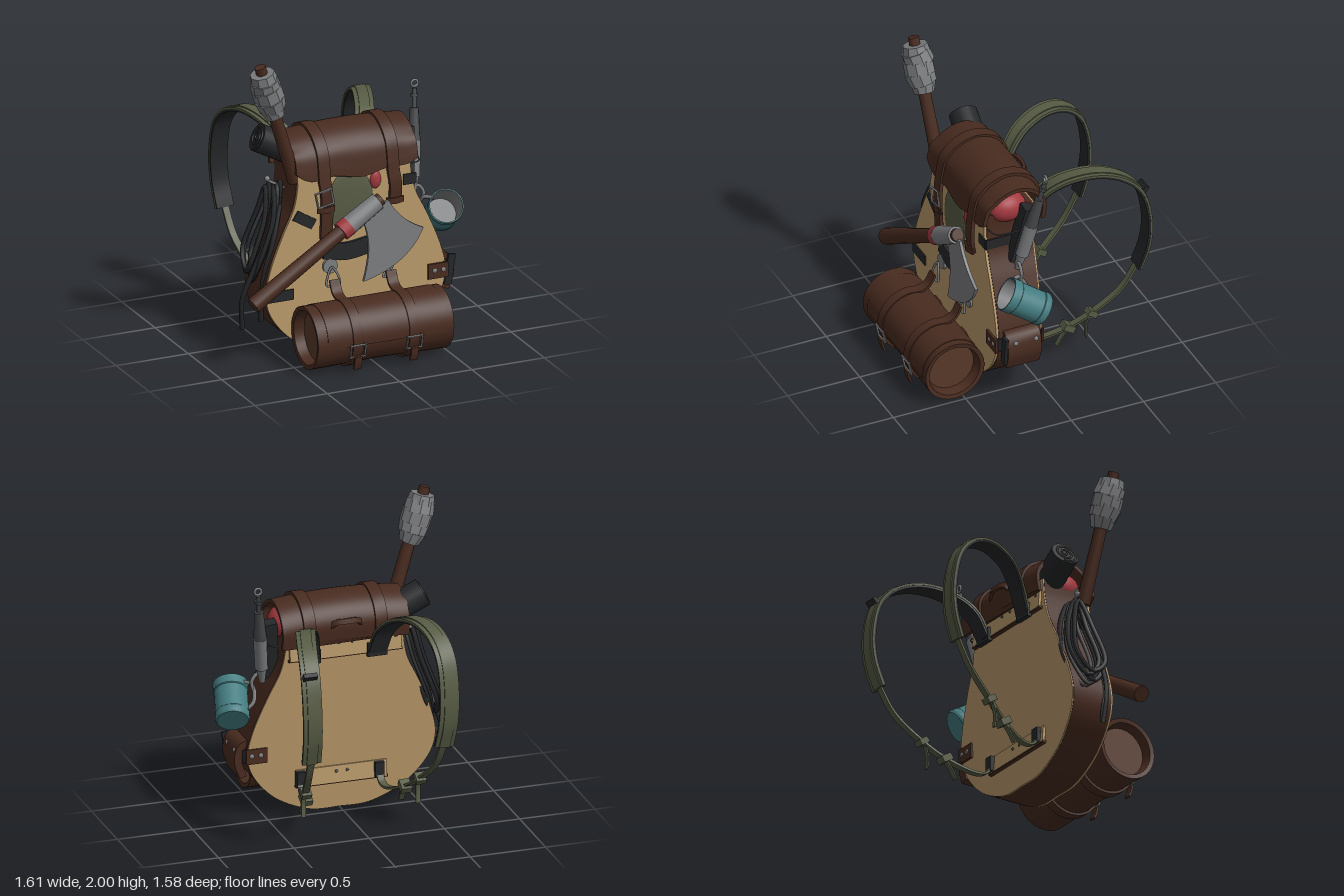
import * as THREE from 'three';
import { toCreasedNormals } from 'three/addons/utils/BufferGeometryUtils.js';

const mat = (name, color) => {
  const m = new THREE.MeshStandardMaterial({ color });
  m.name = name;
  return m;
};
const V = (a) => new THREE.Vector3(...a);
const UP = new THREE.Vector3(0, 1, 0);

export function createModel() {
  const root = new THREE.Group();
  root.name = 'backpack';
  const tan = mat('tan hide', 0xb7986a), brown = mat('brown leather', 0x482b1f);
  const hide = mat('worn leather', 0x583829), black = mat('black rubber', 0x252628);
  const olive = mat('olive canvas', 0x565b44), teal = mat('teal enamel', 0x447c80);
  const steel = mat('steel', 0x7c7d7f), iron = mat('dark iron', 0x47484a), red = mat('red cloth', 0xa2393f);

  const add = (name, geo, m, pos = [0, 0, 0], rot = [0, 0, 0], parent = root) => {
    const mesh = new THREE.Mesh(geo, m);
    mesh.name = name;
    mesh.position.set(...pos);
    mesh.rotation.set(...rot);
    parent.add(mesh);
    return mesh;
  };
  const box = (name, size, m, pos, rot) => add(name, new THREE.BoxGeometry(...size), m, pos, rot);
  const ball = (name, r, m, pos, scale = [1, 1, 1]) => {
    const b = add(name, new THREE.SphereGeometry(r, 20, 14), m, pos);
    b.scale.set(...scale);
    return b;
  };
  // turn an upright object so it stands on a and points at b
  const aim = (obj, a, b) => {
    obj.position.copy(V(a));
    obj.quaternion.setFromUnitVectors(UP, V(b).sub(V(a)).normalize());
    return obj;
  };
  const rod = (name, a, b, r1, r2, m, sides = 14) => {
    const len = V(a).distanceTo(V(b));
    return aim(add(name, new THREE.CylinderGeometry(r2, r1, len, sides).translate(0, len / 2, 0), m), a, b);
  };
  const tube = (name, pts, r, m, closed = false, n = 32) =>
    add(name, new THREE.TubeGeometry(new THREE.CatmullRomCurve3(pts.map(V), closed), n, r, 6, closed), m);
  const buckle = (name, w, h, pos, rot) => {
    const g = new THREE.TorusGeometry(Math.SQRT1_2, 0.1, 5, 4).rotateZ(Math.PI / 4).scale(w, h, 0.08);
    return add(name, toCreasedNormals(g, 0.5), steel, pos, rot);
  };
  // flat band swept along a path, 'dir' giving its width direction
  const ribbon = (name, pts, width, thick, m, { offset = 0, dir = [1, 0, 0], n = 32, across = 1, bend } = {}) => {
    const curve = new THREE.CatmullRomCurve3(pts.map(V)), pos = [], idx = [], size = 2 * (across + 1);
    for (let k = 0; k <= n; k++) {
      const p = curve.getPointAt(k / n), t = curve.getTangentAt(k / n), s = V(dir);
      s.addScaledVector(t, -s.dot(t)).normalize();
      const nor = t.clone().cross(s);
      for (let j = 0; j < size; j++) {
        const top = j > across, u = (top ? size - 1 - j : j) / across - 0.5;
        const q = p.clone().addScaledVector(s, u * width).addScaledVector(nor, offset + (top ? 0.5 : -0.5) * thick);
        if (bend) bend(q, k / n, u);
        pos.push(q.x, q.y, q.z);
      }
      for (let j = 0; k < n && j < size; j++) {
        const a = k * size + j, b = k * size + (j + 1) % size;
        idx.push(a, b, b + size, a, b + size, a + size);
      }
    }
    const e = n * size;
    for (let j = 1; j < size - 1; j++) idx.push(0, j + 1, j, e, e + j, e + j + 1);
    const g = new THREE.BufferGeometry();
    g.setAttribute('position', new THREE.Float32BufferAttribute(pos, 3));
    g.setIndex(idx);
    return add(name, toCreasedNormals(g, 0.7), m);
  };

  // Pear-shaped bag: brown side wall between tan front and back panels
  const front = (y) => 0.355 - 0.03 * y, back = (y) => 0.07 - 0.085 * y;
  const half = [[0.2, 0.02], [0.42, 0.12], [0.57, 0.28], [0.62, 0.44], [0.585, 0.62], [0.5, 0.83], [0.42, 1.0], [0.39, 1.15]];
  const outline = (k) => {
    const s = new THREE.Shape();
    s.moveTo(0, 0.012);
    s.splineThru([...half, [0.39, 1.27]].map(([x, y]) => new THREE.Vector2(x * k, y)));
    s.lineTo(-0.39 * k, 1.27);
    s.splineThru([...half].reverse().concat([[0, 0.012]]).map(([x, y]) => new THREE.Vector2(-x * k, y)));
    return s;
  };
  const slab = (name, k, t0, t1, m) => {
    const g = new THREE.ExtrudeGeometry(outline(k), { depth: 1, bevelEnabled: false, curveSegments: 40 });
    const p = g.attributes.position;
    for (let i = 0; i < p.count; i++) {
      const y = p.getY(i), t = p.getZ(i) ? t1 : t0;
      p.setZ(i, back(y) + (front(y) - back(y)) * t);
    }
    add(name, toCreasedNormals(g, 0.6), m);
  };
  slab('backPanel', 1.005, 0, 0.03, tan);
  slab('sideWall', 1.01, 0.03, 0.95, brown);
  slab('frontPanel', 1.0, 0.95, 1, tan);

  // Top flap with sagging ends and wavy lower edge, and the red bundle under it
  const over = [[-0.07, 1.2], [-0.08, 1.32], [-0.02, 1.41], [0.1, 1.455], [0.22, 1.42], [0.3, 1.34], [0.325, 1.24], [0.335, 1.17]];
  ribbon('topFlap', over.map(([z, y]) => [0.01, y, z]), 0.84, 0.025, brown, {
    across: 16, n: 36,
    bend: (q, t, u) => {
      q.y -= 0.1 * u * u;
      if (t > 0.7) q.y += (t - 0.7) * (0.06 * Math.cos(u * 14 + 2.6) + 5 * u ** 4);
    },
  });
  add('redBundle', new THREE.CapsuleGeometry(0.1, 0.65, 8, 20), red, [0.02, 1.28, 0.15], [0, 0, Math.PI / 2]).scale.z = 1.3;
  ball('redCloth', 0.06, red, [0.145, 1.11, 0.318], [0.65, 1, 0.4]);
  ball('canvasBundle', 0.17, olive, [-0.03, 0.98, 0.322], [0.95, 1.35, 0.12]);
  ribbon('frontSling', [[-0.22, 0.7, 0.342], [-0.07, 0.675, 0.35], [0.08, 0.69, 0.342]], 0.115, 0.02, black, { dir: [0, 1, 0] });

  // Flap straps and buckle
  for (const [x, low, by] of [[-0.22, 0.78, 1.06], [0.255, 0.95, 1.05]]) {
    const path = over.map(([z, y]) => [x, y + 0.002, z + (z > 0 ? 0.008 : -0.008)]);
    ribbon('flapStrap', [...path, [x + 0.01, 1.08, 0.355], [x + 0.01, low, 0.345]], 0.08, 0.025, brown, { n: 44, offset: 0.006 });
    ribbon('strapKeeper', [[x - 0.055, by - 0.08, 0.36], [x, by - 0.08, 0.38], [x + 0.065, by - 0.08, 0.36]], 0.04, 0.012, brown, { dir: [0, 1, 0], n: 10 });
  }
  buckle('flapBuckle', 0.11, 0.1, [-0.23, 1.06, 0.375], [0, 0, 0.2]);

  // Bedroll with hollow ends, outer flap and hanging straps
  const rc = [0.015, 0.225, 0.565];
  const profile = [[0, -0.38], [0.16, -0.4], [0.175, -0.465], [0.203, -0.47], [0.2, -0.3], [0.193, 0], [0.2, 0.3], [0.203, 0.47], [0.175, 0.465], [0.16, 0.4], [0, 0.38]];
  const roll = new THREE.LatheGeometry(profile.map((p) => new THREE.Vector2(...p)), 32).rotateZ(-Math.PI / 2);
  add('bedroll', toCreasedNormals(roll, 0.6), brown, rc);
  for (const s of [-1, 1]) add('bedrollEnd', new THREE.CircleGeometry(0.16, 24), hide, [rc[0] + s * 0.401, rc[1], rc[2]], [0, s * Math.PI / 2, 0]);
  const arc = (x, r, a0, a1, n = 14) => Array.from({ length: n + 1 }, (_, i) => {
    const a = a0 + (a1 - a0) * i / n;
    return [x, rc[1] + r * Math.cos(a), rc[2] + r * Math.sin(a)];
  });
  ribbon('bedrollFlap', arc(0.025, 0.2, -0.9, 1.7), 0.82, 0.012, brown);
  for (const x of [-0.18, 0.21]) {
    ribbon('bedrollStrap', [[x, 0.52, 0.41], [x, 0.45, 0.45], ...arc(x, 0.206, -0.25, 5.2, 20)], 0.07, 0.016, brown, { n: 48 });
    buckle('bedrollBuckle', 0.1, 0.085, [x, 0.165, 0.772], [0.2, 0, 0]);
    ribbon('strapTail', [[x, 0.13, 0.775], [x, 0.08, 0.765], [x, 0.04, 0.75]], 0.05, 0.014, brown, { n: 6 });
    const y = x < 0 ? 0.59 : 0.54;
    add('hangerDisc', new THREE.CylinderGeometry(0.05, 0.05, 0.02, 20), steel, [x, y, 0.345], [Math.PI / 2, 0, 0]);
    tube('hangerRing', [[x, y, 0.375], [x - 0.03, y - 0.04, 0.385], [x - 0.045, 0.48, 0.395], [x, 0.475, 0.4], [x + 0.045, 0.48, 0.395], [x + 0.03, y - 0.04, 0.385]], 0.008, steel, true);
  }

  // Axe slung across the front
  const h0 = [-0.765, 0.455, 0.462], h1 = [0.15, 1.005, 0.39];
  const along = (t) => V(h0).lerp(V(h1), t).toArray();
  rod('axeHandle', h0, h1, 0.054, 0.042, brown);
  rod('axeSocket', along(0.75), along(0.975), 0.062, 0.056, steel, 16);
  rod('axeBand', along(0.69), along(0.75), 0.062, 0.064, red, 16);
  const blade = new THREE.Shape();
  blade.moveTo(0.02, 0.88);
  blade.quadraticCurveTo(0.1, 0.72, 0.025, 0.47);
  blade.quadraticCurveTo(0.34, 0.54, 0.44, 0.77);
  blade.quadraticCurveTo(0.28, 0.84, 0.2, 0.99);
  blade.lineTo(0.12, 0.97);
  add('axeBlade', new THREE.ExtrudeGeometry(blade, { depth: 0.02, bevelEnabled: false, curveSegments: 14 }), steel, [0, 0, 0.385]);

  // Torch with overlapping tilted cloth wraps
  const t0 = [-0.39, 1.17, 0.27], t1 = [-0.655, 1.995, 0.325];
  rod('torchShaft', t0, t1, 0.046, 0.036, brown, 10);
  const head = new THREE.Group();
  head.name = 'torchHead';
  root.add(head);
  [[0.035, 0.066, 0.086, 0.075], [0.1, 0.088, 0.1, 0.085], [0.17, 0.099, 0.099, 0.085], [0.235, 0.099, 0.092, 0.085], [0.29, 0.09, 0.08, 0.06]].forEach(([y, lo, hi, len], i) =>
    add('torchWrap', toCreasedNormals(new THREE.CylinderGeometry(hi, lo, len, 9), 0.3), steel, [0, y, 0], [i % 2 ? 0.1 : -0.07, i * 0.5, 0.08], head));
  aim(head, V(t0).lerp(V(t1), 0.575).toArray(), t1);

  // Rolled rubber mat with a spiral end
  const m0 = [-0.28, 1.27, 0.06], m1 = [-0.54, 1.405, 0.035];
  const roundMat = rod('rolledMat', m0, m1, 0.092, 0.092, black, 20);
  const spiral = Array.from({ length: 28 }, (_, i) => V([0.003 * i * Math.cos(i * 0.6), 0.296, 0.003 * i * Math.sin(i * 0.6)]));
  add('matSpiral', new THREE.TubeGeometry(new THREE.CatmullRomCurve3(spiral), 80, 0.008, 5), black, [0, 0, 0], [0, 0, 0], roundMat);

  // Coiled cable on its hook
  rod('cableHook', [-0.4, 1.08, 0.14], [-0.52, 1.15, 0.14], 0.009, 0.009, steel);
  ball('hookKnob', 0.018, steel, [-0.52, 1.16, 0.14]);
  for (let i = 0; i < 5; i++) {
    const d = i * 0.026, e = (i * 0.37) % 1 * 0.08;
    tube('cableLoop', [[-0.43 - d, 1.13 - e / 2, 0.14], [-0.46 - d, 0.95, 0.05 + e], [-0.55 - d, 0.68, 0.02 + e], [-0.62 - d / 2, 0.47 + d, 0.12 + e],
      [-0.58 - d, 0.64, 0.2 + e], [-0.47 - d, 0.93, 0.18 + e]], 0.016, black, true, 40);
  }
  tube('cableEnd', [[-0.48, 1.05, 0.18], [-0.57, 0.8, 0.24], [-0.67, 0.58, 0.24], [-0.73, 0.4, 0.22], [-0.72, 0.2, 0.2]], 0.016, black);
  tube('cableEnd', [[-0.46, 1.0, 0.2], [-0.54, 0.78, 0.27], [-0.61, 0.55, 0.28], [-0.62, 0.26, 0.26]], 0.016, black);

  // Steel rod hanging on the left side
  const s0 = [0.49, 0.88, 0.14], s1 = [0.57, 1.54, -0.015], st = (t) => V(s0).lerp(V(s1), t).toArray();
  rod('rodPoint', st(0.02), st(0.18), 0.018, 0.034, steel);
  rod('rodSleeve', st(0.18), st(0.52), 0.044, 0.046, steel, 8);
  rod('rodGrip', st(0.52), st(0.82), 0.042, 0.028, iron, 10);
  rod('rodNeck', st(0.82), st(1), 0.015, 0.015, iron);
  rod('rodCollar', st(0.92), st(0.95), 0.024, 0.024, iron);
  add('rodRing', new THREE.TorusGeometry(0.022, 0.008, 8, 24), steel, [0.573, 1.572, -0.02]);
  box('rodHolder', [0.09, 0.4, 0.07], black, [0.455, 1.13, 0.1], [-0.22, 0, -0.1]);
  tube('rodWire', [[0.38, 1.18, 0], [0.47, 1.18, 0], [0.47, 1.17, 0.27], [0.38, 1.17, 0.3]], 0.005, iron);

  // Enamel mug and its hook
  const mug = new THREE.Group();
  mug.name = 'mug';
  root.add(mug);
  const lathe = (name, pts, m) => add(name, toCreasedNormals(new THREE.LatheGeometry(pts.map((p) => new THREE.Vector2(...p)), 24), 0.6), m, [0, 0, 0], [0, 0, 0], mug);
  lathe('mugShell', [[0, 0], [0.1, 0], [0.11, 0.015], [0.11, 0.05], [0.106, 0.055], [0.106, 0.22], [0.112, 0.225], [0.112, 0.285], [0.104, 0.285]], teal);
  lathe('mugInside', [[0.104, 0.285], [0.098, 0.02], [0, 0.02]], steel);
  aim(mug, [0.715, 0.69, 0.055], [0.65, 0.84, 0.29]);
  tube('mugHandle', [[0.63, 0.72, 0.1], [0.56, 0.78, 0.1], [0.55, 0.87, 0.16], [0.6, 0.88, 0.22]], 0.013, steel);
  tube('mugHook', [[0.46, 0.92, 0.14], [0.52, 0.95, 0.14], [0.56, 0.9, 0.14], [0.55, 0.84, 0.14]], 0.012, steel);

  // Side pouch: brown flap over black webbing, with riveted tabs
  ribbon('sidePouch', [[0.58, 0.515, 0.18], [0.65, 0.5, 0.18], [0.675, 0.4, 0.18], [0.64, 0.29, 0.18]], 0.23, 0.05, brown, { dir: [0, 0, 1], n: 12 });
  ribbon('pouchBand', [[0.6, 0.44, 0.03], [0.64, 0.43, 0.07], [0.65, 0.42, 0.18], [0.64, 0.44, 0.29], [0.6, 0.45, 0.345]], 0.09, 0.02, black, { dir: [0, 1, 0] });
  box('pouchBlock', [0.05, 0.2, 0.02], black, [0.665, 0.42, 0.305], [0, 0, -0.15]);
  for (const z of [0.1, 0.24]) ball('rivet', 0.016, steel, [0.69, 0.47, z], [0.6, 1, 1]);
  for (const [z, s] of [[front(0.44) + 0.006, 1], [back(0.44) - 0.006, -1]]) {
    box('pouchTab', [0.14, 0.1, 0.016], brown, [0.565, 0.44, z]);
    for (const x of [0.54, 0.6]) ball('rivet', 0.016, steel, [x, 0.445, z + s * 0.008], [1, 1, 0.5]);
  }

  // Dark webbing tabs on the front and side
  for (const [x, y, w, r] of [[-0.52, 0.44, 0.18, 0], [-0.35, 0.92, 0.15, -0.55], [0.38, 1.08, 0.09, 0]])
    box('webbingTab', [w, 0.07, 0.009], black, [x, y, front(y) + 0.005], [0, 0, r]);
  box('sideWebbing', [0.012, 0.07, 0.2], black, [0.415, 1.07, 0.22]);

  // Back mounting plates and carry handle
  for (const [y, w, h] of [[1.15, 0.74, 0.14], [0.25, 0.6, 0.11]]) {
    const z = back(y) - 0.012;
    box('backPlate', [w, h, 0.02], tan, [0, y, z], [0.085, 0, 0]);
    box('plateEdge', [w + 0.01, 0.015, 0.025], brown, [0, y - h / 2, z], [0.085, 0, 0]);
    for (const x of [-0.45, -0.06, 0.06, 0.45]) ball('plateRivet', 0.01, iron, [x * w, y + 0.02, z - 0.011], [1, 1, 0.6]);
  }
  ribbon('carryHandle', [[-0.09, 1.3, -0.08], [-0.06, 1.33, -0.105], [0.02, 1.335, -0.115], [0.08, 1.33, -0.105], [0.11, 1.3, -0.08]], 0.035, 0.02, brown, { dir: [0, 1, 0.3] });

  // Shoulder straps: padded upper part, thin lower webbing and adjusters
  for (const s of [-1, 1]) {
    const X = (x) => s * x + 0.015;
    const pad = [[0.22, 1.08, -0.06], [0.25, 1.24, -0.13], [0.315, 1.35, -0.25], [0.385, 1.395, -0.44], [0.43, 1.35, -0.6], [0.45, 1.24, -0.71], [0.455, 1.02, -0.765], [0.45, 0.83, -0.755], [0.44, 0.66, -0.7]].map(([x, y, z]) => [X(x), y, z]);
    ribbon('strapOuter', pad, 0.125, 0.014, olive, { n: 48, offset: -0.01 });
    ribbon('strapPadding', pad, 0.118, 0.014, black, { n: 48, offset: 0.004 });
    ribbon('strapRidge', pad, 0.07, 0.008, olive, { n: 48, offset: -0.02 });
    const web = [[0.44, 0.68, -0.71], [0.425, 0.5, -0.6], [0.38, 0.34, -0.42], [0.33, 0.24, -0.28], [0.275, 0.17, -0.1], [0.265, 0.18, -0.02], [0.26, 0.25, 0.03]].map(([x, y, z]) => [X(x), y, z]);
    ribbon('strapWebbing', web, 0.045, 0.016, olive, { n: 40 });
    box('strapAdjuster', [0.065, 0.04, 0.07], olive, web[2], [-0.6, 0, 0]);
    box('strapBuckle', [0.07, 0.045, 0.08], olive, web[3], [-0.55, 0, 0]);
    ribbon('looseEnd', [[X(0.335), 0.25, -0.3], [X(0.33), 0.2, -0.25], [X(0.33), 0.12, -0.2]], 0.035, 0.01, olive, { n: 8 });
    ribbon('looseEnd', [[X(0.38), 0.33, -0.4], [X(0.38), 0.25, -0.38], [X(0.38), 0.16, -0.385]], 0.03, 0.01, olive, { n: 8 });
    box('strapAnchor', [0.13, 0.09, 0.03], black, [X(0.22), 1.1, -0.055]);
    box('lowerAnchor', [0.06, 0.1, 0.04], black, [X(0.26), 0.25, 0.02]);
  }
  box('strapClip', [0.09, 0.03, 0.06], black, [0.475, 1.25, -0.735], [0.9, 0, 0]);

  return root;
}
